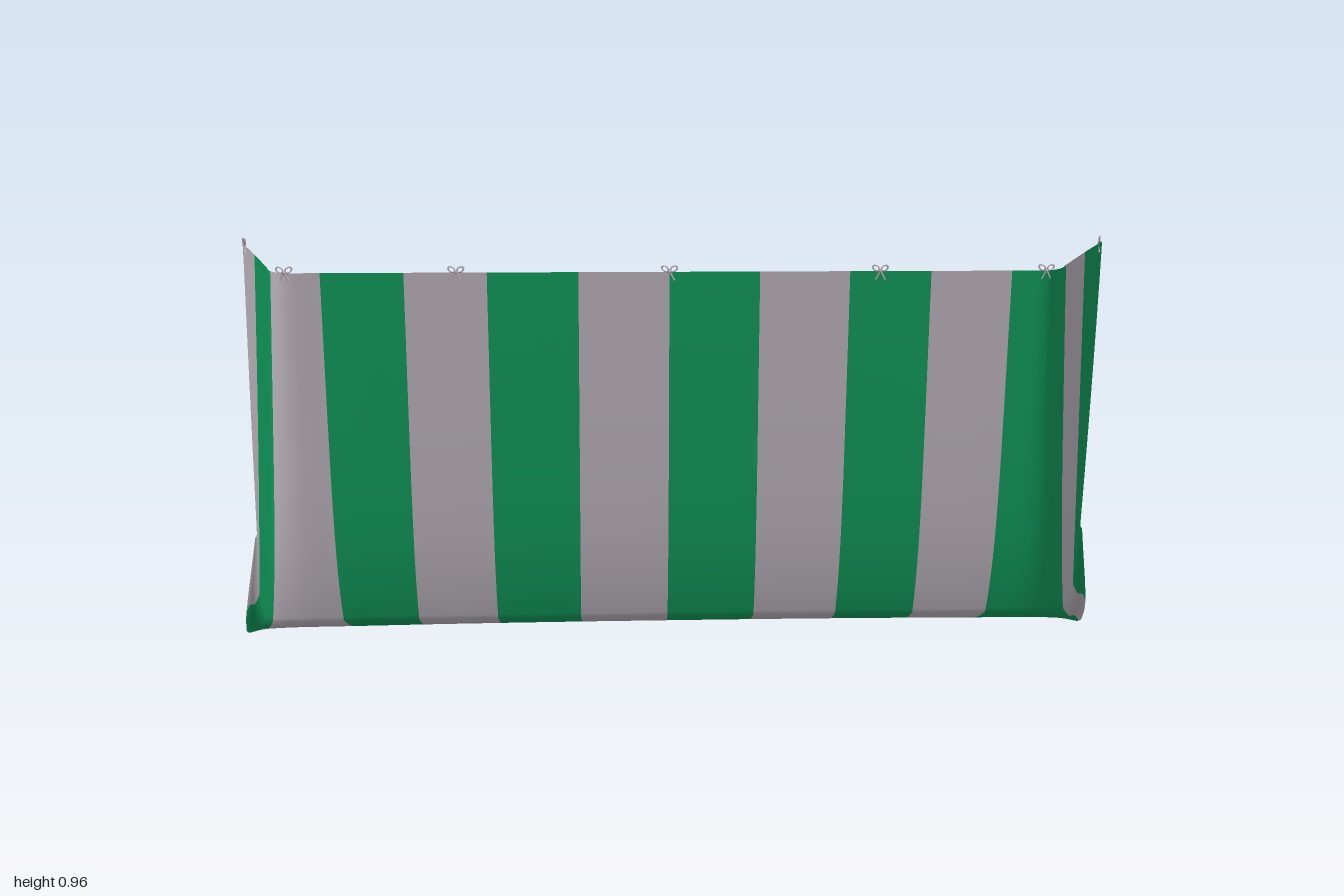
import * as THREE from 'three';

export function createModel() {
  const group = new THREE.Group();
  const green = new THREE.MeshStandardMaterial({ color: 0x10985a, side: THREE.DoubleSide });
  green.name = 'green cloth';
  const grey = new THREE.MeshStandardMaterial({ color: 0xbab2ba, side: THREE.DoubleSide });
  grey.name = 'pale grey cloth';

  // Columns from the centre of the back panel to the front of a side wing:
  // top x,z | hem seam x,y,z | hem edge x,y,z | flare exponent
  const half = [
    [0, -0.07, 0, 0.03, -0.165, 0, 0.003, -0.264, 6],
    [0.21, -0.07, 0.21, 0.03, -0.165, 0.2, 0.003, -0.263, 6],
    [0.42, -0.07, 0.41, 0.03, -0.164, 0.4, 0.003, -0.258, 6],
    [0.61, -0.07, 0.6, 0.03, -0.162, 0.58, 0.003, -0.25, 6],
    [0.8, -0.07, 0.78, 0.03, -0.16, 0.74, 0.003, -0.238, 6],
    [0.885, -0.068, 0.89, 0.03, -0.155, 0.91, 0.004, -0.213, 6],
    [0.907, -0.045, 0.945, 0.035, -0.135, 0.978, 0.007, -0.17, 6],
    [0.907, 0, 0.958, 0.05, -0.105, 0.998, 0.018, -0.105, 5],
    [0.907, 0.08, 0.957, 0.085, -0.055, 0.992, 0.05, -0.05, 4],
    [0.907, 0.15, 0.95, 0.135, 0.0, 0.98, 0.098, 0.005, 2.5],
    [0.91, 0.265, 0.932, 0.3, 0.105, 0.936, 0.29, 0.107, 1.5],
  ];
  const last = half.length - 1;
  const topY = z => 0.87 + (z + 0.07) * 0.25;
  const columns = [];
  for (let k = -last; k <= last; k++) {
    const c = half[Math.abs(k)], s = Math.sign(k);
    columns.push({
      top: new THREE.Vector3(s * c[0], topY(c[1]), c[1]),
      seam: new THREE.Vector3(s * c[2], c[3], c[4]),
      edge: new THREE.Vector3(s * c[5], c[6], c[7]),
      exp: c[8],
    });
  }

  // Each row is a smooth curve through all columns
  const panelRows = 20, hem = [[0.2, -0.008], [0.4, -0.012], [0.6, 0.002], [0.8, 0.009], [1, 0]];
  const rows = [];
  for (let i = 0; i <= panelRows; i++) {
    const w = 1 - Math.pow(1 - i / panelRows, 1.5);
    rows.push(columns.map(c => {
      const g = 0.6 * w + 0.4 * Math.pow(w, c.exp);
      const p = c.top.clone().lerp(c.seam, g);
      p.y = THREE.MathUtils.lerp(c.top.y, c.seam.y, w);
      return p;
    }));
  }
  for (const [t, lift] of hem) {
    rows.push(columns.map(c => {
      const p = c.seam.clone().lerp(c.edge, t);
      p.y = Math.max(0, p.y + lift * Math.min(1, c.seam.distanceTo(c.edge) / 0.08));
      return p;
    }));
  }

  const sub = 5, across = 2 * last * sub, stride = across + 1;
  const positions = [];
  for (const row of rows) {
    const curve = new THREE.CatmullRomCurve3(row);
    for (let j = 0; j <= across; j++) {
      const p = curve.getPoint(j / across);
      positions.push(p.x, Math.max(0, p.y), p.z);
    }
  }

  // Stripes change at these columns; right and left corners differ slightly
  const bounds = [-last, -9, -6, -4, -3, -2, -1, 0, 1, 2, 3, 4, 7, 9, last];
  const cloth = new THREE.BufferGeometry();
  const index = [];
  for (let b = 0; b < bounds.length - 1; b++) {
    const start = index.length;
    for (let j = (bounds[b] + last) * sub; j < (bounds[b + 1] + last) * sub; j++) {
      for (let i = 0; i < rows.length - 1; i++) {
        const a = i * stride + j, d = a + stride;
        index.push(a, d, a + 1, a + 1, d, d + 1);
      }
    }
    cloth.addGroup(start, index.length - start, b % 2);
  }
  cloth.setAttribute('position', new THREE.Float32BufferAttribute(positions, 3));
  cloth.setIndex(index);
  cloth.computeVertexNormals();
  const curtain = new THREE.Mesh(cloth, [grey, green]);
  curtain.name = 'stripedCloth';
  group.add(curtain);

  // Small tied bows along the top edge
  const loopGeo = new THREE.TorusGeometry(0.007, 0.002, 5, 12).scale(1.2, 0.8, 1);
  const tailGeo = new THREE.CylinderGeometry(0.002, 0.002, 0.022, 5);
  const knotGeo = new THREE.SphereGeometry(0.004, 8, 6);
  function addBow(x, y, z, turn) {
    const bow = new THREE.Group();
    bow.name = 'tieBow';
    const part = (geo, name, px, py, rot) => {
      const m = new THREE.Mesh(geo, grey);
      m.name = name;
      m.position.set(px, py, 0);
      m.rotation.z = rot;
      bow.add(m);
    };
    part(knotGeo, 'knot', 0, 0, 0);
    for (const s of [-1, 1]) {
      part(loopGeo, 'bowLoop', s * 0.01, 0.007, s * 0.6);
      part(tailGeo, 'bowTail', s * 0.006, -0.01, s * 0.5);
    }
    bow.position.set(x, y, z);
    bow.rotation.y = turn;
    group.add(bow);
  }
  for (const x of [-0.88, -0.49, 0, 0.49, 0.88]) addBow(x, 0.87, -0.068, 0);
  for (const s of [-1, 1]) addBow(s * 0.912, topY(0.24) + 0.002, 0.24, Math.PI / 2 - s * 0.3);

  return group;
}
